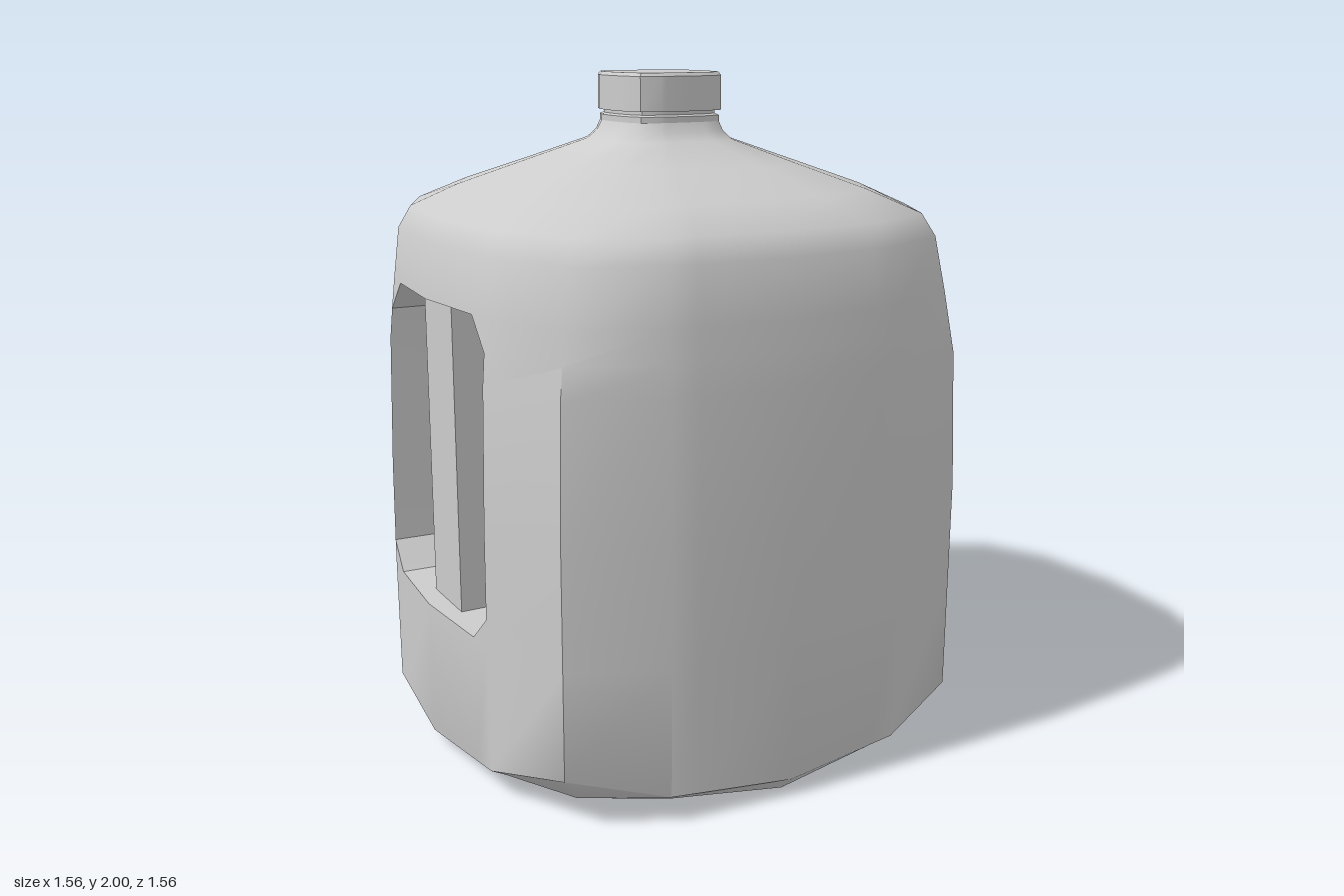
import * as THREE from 'three';
import { toCreasedNormals } from 'three/addons/utils/BufferGeometryUtils.js';

// One rounded-square ring of 24 points. Heights and half-widths are given at
// the middle of a side, at its quarter point and at the corner.
function ring([yMid, yQuarter, yCorner, mid, quarter, corner]) {
  const q = mid * 0.48, t = 0.78;
  const half = [
    [0, yMid, mid],
    [q * t, yMid + (yQuarter - yMid) * t, mid + (quarter - mid) * t],
    [q, yQuarter, quarter],
    [corner, yCorner, corner],
  ];
  const side = [3, 2, 1].map(i => [-half[i][0], half[i][1], half[i][2]]).concat(half.slice(0, 3));
  const points = [];
  for (let k = 0; k < 4; k++) {
    for (const [s, y, d] of side) {
      let x = s, z = d;
      for (let r = 0; r < k; r++) [x, z] = [z, -x];
      points.push([x, y, z]);
    }
  }
  return points;
}
const level = (y, mid, quarter, corner) => ring([y, y, y, mid, quarter, corner]);

function toGeometry(triangles, crease) {
  const geometry = new THREE.BufferGeometry();
  geometry.setAttribute('position', new THREE.Float32BufferAttribute(triangles.flat(2), 3));
  return toCreasedNormals(geometry, crease);
}

// Skin a stack of rings; cut(row, column) may replace a cell with other triangles
function skin(rings, crease, cut = () => null) {
  const triangles = [];
  for (let i = 0; i < rings.length - 1; i++) {
    for (let j = 0; j < 24; j++) {
      const k = (j + 1) % 24;
      const a = rings[i][j], b = rings[i][k], c = rings[i + 1][k], d = rings[i + 1][j];
      triangles.push(...(cut(i, j, a, b, c, d) ?? [[a, b, c], [a, c, d]]));
    }
  }
  return toGeometry(triangles, crease);
}

export function createModel() {
  const group = new THREE.Group();
  const plastic = new THREE.MeshStandardMaterial({ color: 0xcccccc, side: THREE.DoubleSide });
  plastic.name = 'grey plastic';
  const add = (name, geometry) => {
    const mesh = new THREE.Mesh(geometry, plastic);
    mesh.name = name;
    group.add(mesh);
    return mesh;
  };

  // Body: sunken base, chamfer, walls, shoulder, neck
  const rings = [
    ring([0.055, 0.055, 0.055, 0.001, 0.001, 0.001]),
    ring([0.04, 0.06, 0.07, 0.67, 0.64, 0.54]),
    ring([0.0, 0.045, 0.05, 0.73, 0.70, 0.58]),
    ring([0.05, 0.08, 0.15, 0.78, 0.75, 0.65]),
    level(0.46, 0.782, 0.752, 0.65),
    level(0.54, 0.782, 0.752, 0.65),
    level(0.8, 0.78, 0.75, 0.65),
    level(1.2, 0.773, 0.74, 0.638),
    level(1.29, 0.766, 0.732, 0.626),
    level(1.38, 0.757, 0.723, 0.614),
    level(1.54, 0.74, 0.705, 0.59),
    level(1.605, 0.705, 0.67, 0.56),
    level(1.67, 0.57, 0.54, 0.445),
    level(1.74, 0.38, 0.36, 0.295),
    level(1.805, 0.2, 0.192, 0.16),
    level(1.83, 0.172, 0.166, 0.14),
    level(1.86, 0.157, 0.152, 0.13),
  ];

  // Grip opening in the -x wall, with clipped corners
  const low = 4, high = 9, first = 19, last = 23;
  add('body', skin(rings, 0.8, (i, j, a, b, c, d) => {
    if (i < low || i >= high || j < first || j >= last) return null;
    const bottom = i === low, top = i === high - 1;
    if (j === first && bottom) return [[a, b, d]];
    if (j === first && top) return [[a, c, d]];
    if (j === last - 1 && bottom) return [[a, b, c]];
    if (j === last - 1 && top) return [[b, c, d]];
    return [];
  }));

  // Recess: the outline of the opening carried inward to a back wall
  const outline = [];
  for (let j = first + 1; j < last; j++) outline.push(rings[low][j]);
  for (let i = low + 1; i < high; i++) outline.push(rings[i][last]);
  for (let j = last - 1; j > first; j--) outline.push(rings[high][j]);
  for (let i = high - 1; i > low; i--) outline.push(rings[i][first]);
  const inner = outline.map(([, y, z]) => [-0.31, y, z * 0.94]);
  const recess = [];
  outline.forEach((a, n) => {
    const m = (n + 1) % outline.length;
    recess.push([a, outline[m], inner[m]], [a, inner[m], inner[n]]);
    recess.push([inner[n], inner[m], [-0.31, 0.92, 0]]);
  });
  add('gripRecess', toGeometry(recess, 0.5));

  // Upright grip standing in the recess
  add('grip', new THREE.BoxGeometry(0.11, 0.94, 0.21)).position.set(-0.665, 0.92, 0);

  // Collar under the cap
  add('neckCollar', skin([
    level(1.85, 0.14, 0.136, 0.116),
    level(1.855, 0.158, 0.153, 0.131),
    level(1.875, 0.158, 0.153, 0.131),
    level(1.88, 0.148, 0.143, 0.122),
    level(1.9, 0.148, 0.143, 0.122),
  ], 0.6));

  // Cap
  add('cap', skin([
    level(1.89, 0.001, 0.001, 0.001),
    level(1.89, 0.163, 0.158, 0.135),
    level(1.99, 0.163, 0.158, 0.135),
    level(2.0, 0.156, 0.151, 0.129),
    level(2.0, 0.001, 0.001, 0.001),
  ], 0.6));

  return group;
}
